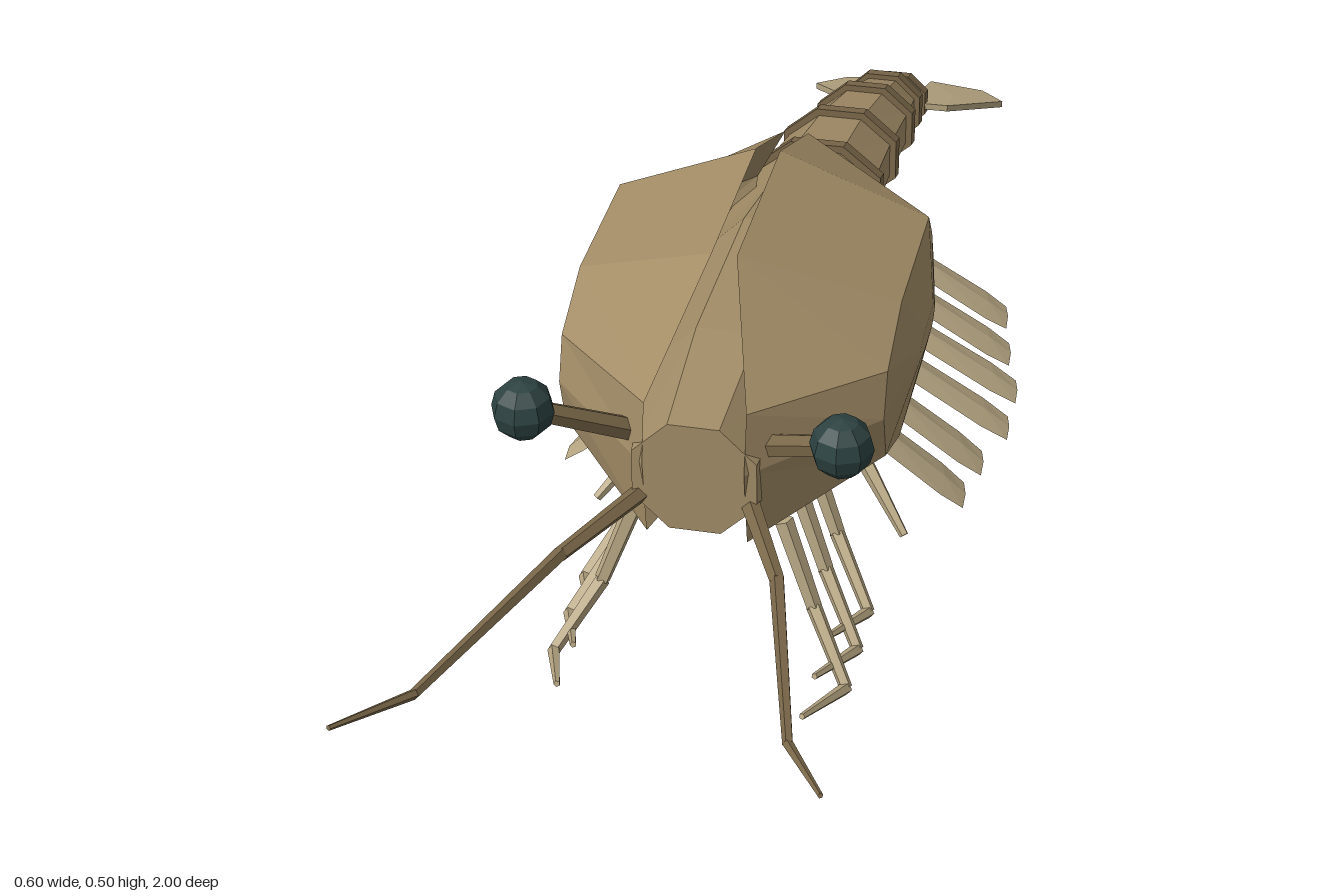
import * as THREE from 'three';
import { mergeGeometries } from 'three/addons/utils/BufferGeometryUtils.js';

const V = (x, y, z) => new THREE.Vector3(x, y, z);
const mat = (color) => new THREE.MeshStandardMaterial({ color, flatShading: true, side: THREE.DoubleSide });

// Skin a row of rings; each ring runs counter-clockwise about the direction of travel
function loft(rings, capStart = true, capEnd = true) {
  const pos = [];
  const tri = (...pts) => pts.forEach((p) => pos.push(p.x, p.y, p.z));
  const n = rings[0].length;
  for (let r = 0; r < rings.length - 1; r++) {
    const a = rings[r], b = rings[r + 1];
    for (let i = 0; i < n; i++) {
      const j = (i + 1) % n;
      tri(a[i], a[j], b[j]);
      tri(a[i], b[j], b[i]);
    }
  }
  const cap = (ring, flip) => {
    const c = ring.reduce((m, p) => m.add(p), V(0, 0, 0)).divideScalar(n);
    ring.forEach((p, i) => {
      const q = ring[(i + 1) % n];
      flip ? tri(c, q, p) : tri(c, p, q);
    });
  };
  if (capStart) cap(rings[0], true);
  if (capEnd) cap(rings[rings.length - 1], false);
  const g = new THREE.BufferGeometry();
  g.setAttribute('position', new THREE.Float32BufferAttribute(pos, 3));
  g.computeVertexNormals();
  return g;
}

// Jointed, tapering rod through a few points
function limb(points, radii, sides = 5) {
  return mergeGeometries(points.slice(1).map((b, i) => {
    const a = points[i], d = b.clone().sub(a);
    const g = new THREE.CylinderGeometry(radii[i + 1], radii[i], d.length(), sides);
    g.applyQuaternion(new THREE.Quaternion().setFromUnitVectors(V(0, 1, 0), d.clone().normalize()));
    const m = a.clone().add(b).multiplyScalar(0.5);
    return g.translate(m.x, m.y, m.z);
  }));
}

// Eight-sided body ring with flat top and bottom
function bodyRing(z, cx, cy, rx, ry, grow = 0) {
  const k = 1 / Math.cos(Math.PI / 8);
  return Array.from({ length: 8 }, (_, i) => {
    const a = (i + 0.5) * Math.PI / 4;
    return V(cx + Math.cos(a) * (rx + grow) * k, cy + Math.sin(a) * (ry + grow) * k, z);
  });
}

// Thin leaf-shaped paddle from root to tip
function paddle(root, tip) {
  const d = tip.clone().sub(root).normalize();
  const w = V(0, 0, 1).addScaledVector(d, -d.z).normalize();
  const n = d.clone().cross(w);
  return loft([[0, 0.008, 0.006], [0.45, 0.028, 0.009], [0.85, 0.03, 0.007], [1, 0.024, 0.004]].map(([t, hw, ht]) => {
    const c = root.clone().lerp(tip, t);
    return [[w, hw], [n, ht], [w, -hw], [n, -ht]].map(([v, l]) => c.clone().addScaledVector(v, l));
  }));
}

export function createModel() {
  const model = new THREE.Group();
  const tan = mat(0xa38d67), dark = mat(0x7d6a4b), pale = mat(0xb8a783), eyeMat = mat(0x2c4241);
  const add = (name, geo, material) => {
    const mesh = new THREE.Mesh(geo, material);
    mesh.name = name;
    model.add(mesh);
    return mesh;
  };

  // Body from tail to head: z, centre x, centre y, half width, half height
  const stations = [
    [-0.85, 0.018, 0.105, 0.036, 0.034],
    [-0.73, 0.015, 0.15, 0.047, 0.046],
    [-0.6, 0.012, 0.193, 0.06, 0.053],
    [-0.45, 0.004, 0.227, 0.07, 0.06],
    [-0.3, 0, 0.254, 0.078, 0.064],
    [-0.16, 0, 0.273, 0.085, 0.07],
    [0, 0, 0.29, 0.09, 0.09],
    [0.27, 0, 0.298, 0.09, 0.09],
    [0.45, 0, 0.298, 0.074, 0.073],
  ];
  add('body', loft(stations.map((s) => bodyRing(...s))), tan);

  // Raised bands around the abdomen
  stations.slice(0, 5).forEach(([z, cx, cy, rx, ry], i) => {
    const zc = i === 0 ? -0.835 : z;
    add('abdomenBand', loft([-1, 1].map((e) =>
      bodyRing(zc + e * 0.014, cx, cy + e * 0.004, rx, ry, 0.009))), dark);
  });

  // Carapace half: rim and shoulder outlines as [z, y]
  const rim = [[0.03, 0.5], [0.28, 0.5], [0.44, 0.39], [0.455, 0.315], [0.44, 0.21],
    [0.22, 0.125], [-0.03, 0.125], [-0.11, 0.21], [-0.19, 0.33], [-0.15, 0.425]];
  const rimX = [0.015, 0.015, 0.06, 0.06, 0.06, 0.06, 0.06, 0.06, 0.06, 0.015];
  const shoulder = [[0, 0.41], [0.2, 0.41], [0.29, 0.37], [0.31, 0.315], [0.29, 0.25],
    [0.19, 0.21], [0.02, 0.21], [-0.02, 0.25], [-0.05, 0.32], [-0.03, 0.37]];

  for (const s of [1, -1]) {
    const side = s > 0 ? 'left' : 'right';
    const turn = (ring) => (s > 0 ? ring : ring.reverse());

    add(side + 'Carapace', loft([
      turn(rim.map(([z, y], i) => V(s * rimX[i], y, z))),
      turn(shoulder.map(([z, y]) => V(s * 0.197, y, z))),
      turn(shoulder.map(([z, y]) => V(s * 0.216, 0.315 + (y - 0.315) * 0.15, 0.1 + (z - 0.1) * 0.3))),
    ], false), tan);

    // Stalked eye
    add(side + 'EyeStalk', limb([V(s * 0.08, 0.33, 0.41), V(s * 0.175, 0.405, 0.5)], [0.015, 0.013], 6), dark);
    add(side + 'Eye', new THREE.SphereGeometry(0.037, 8, 6).translate(s * 0.183, 0.411, 0.508), eyeMat);

    // Antenna
    add(side + 'Antenna', limb([V(s * 0.06, 0.265, 0.43), V(s * 0.125, 0.268, 0.58),
      V(s * 0.2, 0.302, 0.89), V(s * 0.255, 0.337, 1)], [0.012, 0.009, 0.006, 0.003]), dark);

    // Walking legs with bent feet, then one short straight leg
    for (let i = 0; i < 3; i++) {
      const z = 0.375 - i * 0.075;
      add(side + 'WalkingLeg', limb([V(s * 0.09, 0.2, z), V(s * 0.13, 0.09, z + 0.015),
        V(s * 0.18, 0.012, z + 0.065), V(s * 0.147, 0.048, z + 0.17)], [0.012, 0.01, 0.008, 0.004]), pale);
    }
    add(side + 'ShortLeg', limb([V(s * 0.08, 0.19, 0.05), V(s * 0.14, 0.1, 0.1),
      V(s * 0.2, 0.03, 0.15)], [0.012, 0.011, 0.006]), pale);

    // Swimming paddles
    [[0.26, 0.03], [0.272, 0.03], [0.295, 0.038], [0.295, 0.046], [0.275, 0.055], [0.26, 0.065]]
      .forEach(([x, y], i) => {
        const z = 0.05 - i * 0.075;
        add(side + 'Paddle', paddle(V(s * 0.07, 0.21, z + 0.045), V(s * x, y, z)), pale);
      });

    // Tail fan blade
    const blade = [[0.018, 0.105, -0.82], [0.078, 0.1, -0.83], [0.146, 0.05, -0.95],
      [0.108, 0.038, -1], [0.031, 0.062, -0.97]];
    add(side + 'TailFan', loft([-0.005, 0.005].map((h) =>
      turn(blade.map(([x, y, z]) => V(0.018 + s * x, y + h, z)).reverse()).reverse())), pale);
  }
  return model;
}
